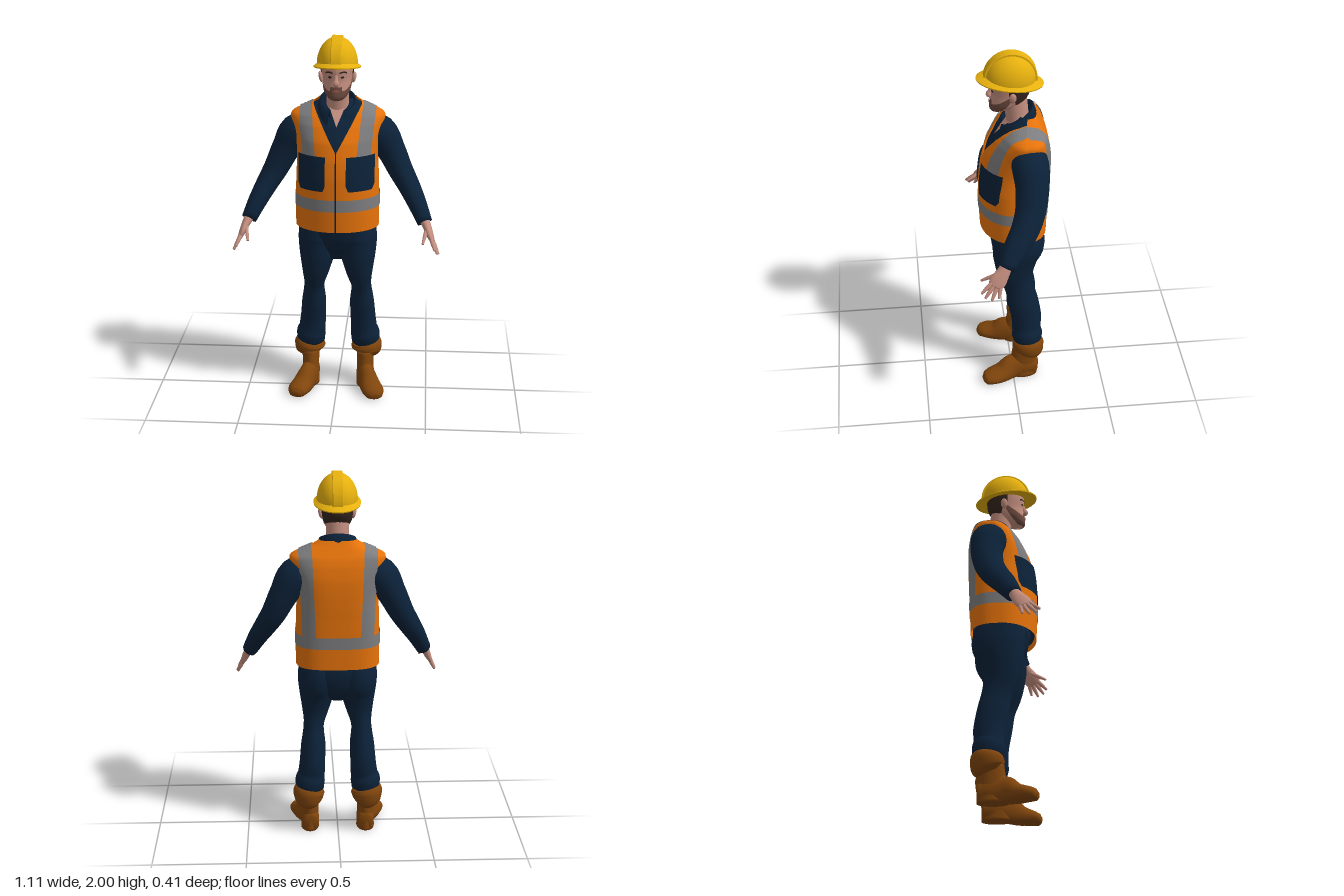
import * as THREE from 'three';
import { toCreasedNormals } from 'three/addons/utils/BufferGeometryUtils.js';

const V = (x, y, z) => new THREE.Vector3(x, y, z);
const mat = (name, color) => {
  const m = new THREE.MeshStandardMaterial({ color, side: THREE.DoubleSide });
  m.name = name;
  return m;
};

// Skin a list of vertex rows with quads
function grid(rows, closed) {
  const n = rows[0].length, idx = [];
  for (let i = 0; i < rows.length - 1; i++) {
    for (let j = 0; j < (closed ? n : n - 1); j++) {
      const k = (j + 1) % n, a = i * n + j, b = i * n + k, c = b + n, d = a + n;
      idx.push(a, b, c, a, c, d);
    }
  }
  const g = new THREE.BufferGeometry().setFromPoints(rows.flat());
  g.setIndex(idx);
  g.computeVertexNormals();
  return g;
}

// Tapered limb through [x, y, z, radius along ref, radius across]
function limb(pts, { ref = V(0, 0, 1), sides = 20, steps = 4, side = 1, floor = -1 } = {}) {
  const path = new THREE.CatmullRomCurve3(pts.map(p => V(p[0] * side, p[1], p[2])));
  const radii = new THREE.CatmullRomCurve3(pts.map(p => V(p[3], p[4], 0)));
  const n = (pts.length - 1) * steps, rows = [];
  for (let i = 0; i <= n; i++) {
    const c = path.getPoint(i / n), r = radii.getPoint(i / n), t = path.getTangent(i / n);
    const a = ref.clone().addScaledVector(t, -ref.dot(t)).normalize();
    const b = t.clone().cross(a);
    const ring = [];
    for (let j = 0; j < sides; j++) {
      const f = j / sides * Math.PI * 2;
      const p = c.clone().addScaledVector(a, Math.cos(f) * r.x).addScaledVector(b, Math.sin(f) * r.y);
      p.y = Math.max(p.y, floor);
      ring.push(p);
    }
    if (i === 0) rows.push(ring.map(() => c.clone()));
    rows.push(ring);
    if (i === n) rows.push(ring.map(() => c.clone()));
  }
  return grid(rows, true);
}

// Body surface from [y, half width, front z, back z]; angle 0 is the front
function surface(keys, backPower) {
  const curve = new THREE.CatmullRomCurve3(keys.map(k => V(k[1], k[2], k[3])));
  const at = y => {
    let i = 0;
    while (i < keys.length - 2 && y > keys[i + 1][0]) i++;
    const f = (y - keys[i][0]) / (keys[i + 1][0] - keys[i][0]);
    return curve.getPoint(THREE.MathUtils.clamp((i + f) / (keys.length - 1), 0, 1));
  };
  const point = (angle, y, off) => {
    const k = at(y), s = Math.sin(angle), c = Math.cos(angle), e = c < 0 ? 2 / backPower : 1;
    return V((k.x + off) * Math.sign(s) * Math.abs(s) ** e, y + off * 0.5,
      (k.y + k.z) / 2 + ((k.y - k.z) / 2 + off) * Math.sign(c) * Math.abs(c) ** e);
  };
  const angleAt = (x, y, back) => {
    const q = Math.min(1, Math.abs(x) / at(y).x), s = Math.sign(x);
    return s * (back ? Math.PI - Math.asin(q ** (backPower / 2)) : Math.asin(q));
  };
  // fn(u, v) gives [angle, y]
  const patch = (fn, off = 0, nu = 16, nv = 16) => {
    const rows = [];
    for (let i = 0; i <= nv; i++) {
      rows.push(Array.from({ length: nu + 1 }, (_, j) => point(...fn(j / nu, i / nv), off)));
    }
    return grid(rows, false);
  };
  return { patch, angleAt };
}

export function createModel() {
  const yellow = mat('helmetYellow', 0xe6b00e), orange = mat('vestOrange', 0xec760c);
  const grey = mat('reflectiveGrey', 0x7e7e80), navy = mat('navyCloth', 0x0c2239);
  const brown = mat('bootLeather', 0x80450c), skin = mat('skin', 0xc48f80);
  const hair = mat('darkHair', 0x35261f), stubble = mat('beardBrown', 0x6f4c40), lip = mat('lips', 0x96594f);
  const root = new THREE.Group();
  const add = (name, geo, m, parent = root) => {
    const mesh = new THREE.Mesh(geo, m);
    mesh.name = name;
    parent.add(mesh);
    return mesh;
  };
  const { lerp } = THREE.MathUtils, TAU = Math.PI * 2;

  // Torso: shirt under an open-necked vest
  const torso = surface([
    [0.97, 0.225, 0.165, -0.188], [1.1, 0.225, 0.17, -0.193], [1.25, 0.222, 0.17, -0.2],
    [1.35, 0.217, 0.16, -0.205], [1.45, 0.226, 0.135, -0.205], [1.53, 0.246, 0.09, -0.193],
    [1.575, 0.25, 0.055, -0.178], [1.61, 0.19, 0.025, -0.158], [1.64, 0.125, -0.005, -0.142],
    [1.665, 0.09, -0.03, -0.13]], 3);
  add('shirt', torso.patch((u, v) => [u * TAU, lerp(1.0, 1.66, v)], -0.012, 64, 50), navy);
  add('vest', torso.patch((u, v) => {
    const y = lerp(0.97, 1.66, v);
    const gap = torso.angleAt(Math.max(0.003, (y - 1.4) * 0.56), y);
    return [lerp(gap, TAU - gap, u), y];
  }, 0, 80, 70), orange);
  add('waistStripe', torso.patch((u, v) => [lerp(0.02, TAU - 0.02, u), lerp(1.085, 1.15, v)], 0.004, 80, 6), grey);
  add('throat', torso.patch((u, v) => {
    const y = lerp(1.53, 1.64, v);
    return [torso.angleAt((u * 2 - 1) * 0.05 * v, y), y];
  }, -0.005, 8, 12), skin);
  for (const s of [1, -1]) {
    add('frontStripe', torso.patch((u, v) => {
      const y = lerp(1.36, 1.645, v);
      return [torso.angleAt(s * (lerp(0.105, 0.175, u) + 0.03 * v), y), y];
    }, 0.005, 10, 40), grey);
    add('backStripe', torso.patch((u, v) => {
      const y = lerp(1.14, 1.645, v);
      return [torso.angleAt(s * (lerp(0.115, 0.185, u) + 0.02 * v), y, true), y];
    }, 0.005, 10, 60), grey);
    add('pocket', torso.patch((u, v) => {
      const y = lerp(1.195, 1.38, v), inset = 0.012 * Math.max(0, 1 - v * 6);
      return [torso.angleAt(s * lerp(0.053 + inset, 0.195 - inset, u), y), y];
    }, 0.009, 12, 18), navy);
  }

  // Folded collar, high at the nape and low at the throat
  const collarRows = [[0.118, 0.112, 1.575], [0.108, 0.1, 1.62], [0.098, 0.09, 1.65], [0.086, 0.08, 1.648], [0.085, 0.075, 1.59]];
  add('collar', grid(collarRows.map(([rx, rz, y]) => Array.from({ length: 41 }, (_, j) => {
    const f = lerp(0.42, TAU - 0.42, j / 40), c = Math.cos(f);
    return V(rx * Math.sin(f), y - 0.048 * c, -0.032 + rz * c);
  })), false), navy);

  // Trousers
  add('hips', limb([[0, 1.02, -0.015, 0.15, 0.205], [0, 0.92, -0.03, 0.145, 0.213],
    [0, 0.84, -0.03, 0.12, 0.18], [0, 0.77, -0.02, 0.07, 0.07]], { sides: 32 }), navy);
  for (const side of [1, -1]) {
    add('trouserLeg', limb([[0.1, 1.0, -0.02, 0.13, 0.1], [0.108, 0.9, -0.033, 0.145, 0.107],
      [0.112, 0.8, -0.018, 0.122, 0.097], [0.12, 0.7, -0.018, 0.098, 0.075], [0.131, 0.6, -0.04, 0.081, 0.055],
      [0.134, 0.5, -0.06, 0.085, 0.067], [0.14, 0.4, -0.077, 0.084, 0.07], [0.146, 0.33, -0.077, 0.08, 0.074],
      [0.153, 0.29, -0.08, 0.086, 0.082], [0.148, 0.24, -0.083, 0.076, 0.072]], { side }), navy);

    // Boots
    const boot = new THREE.Group();
    boot.name = 'boot';
    root.add(boot);
    add('bootCuff', limb([[0.155, 0.25, -0.083, 0.08, 0.076], [0.16, 0.225, -0.085, 0.089, 0.087],
      [0.16, 0.19, -0.085, 0.085, 0.08], [0.155, 0.165, -0.075, 0.068, 0.05]], { side }), brown, boot);
    add('bootShaft', limb([[0.155, 0.2, -0.07, 0.07, 0.048], [0.155, 0.12, -0.062, 0.074, 0.047],
      [0.155, 0.05, -0.055, 0.083, 0.048], [0.155, 0.0, -0.055, 0.083, 0.05]], { side }), brown, boot);
    add('bootFoot', limb([[0.152, 0.05, -0.135, 0.05, 0.04], [0.155, 0.06, -0.07, 0.08, 0.05],
      [0.165, 0.055, 0.0, 0.085, 0.05], [0.19, 0.035, 0.07, 0.058, 0.058], [0.208, 0.03, 0.125, 0.04, 0.06],
      [0.217, 0.022, 0.16, 0.032, 0.045], [0.22, 0.02, 0.175, 0.015, 0.022]],
    { side, ref: V(0, 1, 0), floor: 0 }), brown, boot);

    // Sleeves and hands
    add('sleeve', limb([[0.15, 1.5, -0.07, 0.08, 0.07], [0.222, 1.465, -0.08, 0.097, 0.094],
      [0.283, 1.37, -0.085, 0.088, 0.078], [0.338, 1.26, -0.07, 0.08, 0.067], [0.385, 1.18, -0.038, 0.074, 0.059],
      [0.43, 1.1, 0.015, 0.064, 0.051], [0.474, 1.01, 0.068, 0.045, 0.041]], { side }), navy);
    const hand = new THREE.Group();
    hand.name = 'hand';
    root.add(hand);
    add('palm', limb([[0.47, 1.025, 0.065, 0.03, 0.028], [0.49, 0.985, 0.09, 0.037, 0.022],
      [0.505, 0.95, 0.115, 0.045, 0.018], [0.518, 0.922, 0.132, 0.036, 0.012]], { side, sides: 14 }), skin, hand);
    const fingers = [
      ['indexFinger', [0.508, 0.945, 0.145], [0.53, 0.895, 0.203]],
      ['middleFinger', [0.514, 0.935, 0.135], [0.543, 0.872, 0.185]],
      ['ringFinger', [0.515, 0.93, 0.117], [0.55, 0.86, 0.152]],
      ['littleFinger', [0.511, 0.935, 0.1], [0.545, 0.866, 0.115]],
      ['thumb', [0.485, 0.985, 0.105], [0.465, 0.93, 0.2]]];
    for (const [name, a, b] of fingers) {
      const mid = a.map((v, i) => (v + b[i]) / 2);
      add(name, limb([[...a, 0.012, 0.011], [...mid, 0.011, 0.01], [...b, 0.006, 0.006]], { side, sides: 8 }), skin, hand);
    }
  }

  // Head
  const head = new THREE.Group();
  head.name = 'head';
  root.add(head);
  add('neck', limb([[0, 1.55, -0.045, 0.062, 0.07], [0, 1.65, -0.035, 0.06, 0.06], [0, 1.76, -0.02, 0.065, 0.062]]), skin, head);
  const skull = surface([
    [1.666, 0.004, 0.075, 0.06], [1.674, 0.03, 0.097, 0.035], [1.69, 0.05, 0.105, -0.005], [1.715, 0.066, 0.104, -0.045],
    [1.745, 0.073, 0.102, -0.08], [1.78, 0.077, 0.099, -0.097], [1.83, 0.083, 0.104, -0.103],
    [1.88, 0.087, 0.1, -0.105], [1.92, 0.075, 0.08, -0.09]], 2.2);
  add('face', skull.patch((u, v) => [u * TAU, lerp(1.666, 1.92, v)], 0, 40, 40), skin, head);
  add('hair', skull.patch((u, v) => {
    const angle = lerp(1.45, TAU - 1.45, u), back = Math.min(1, Math.abs(u < 0.5 ? u : 1 - u) * 6);
    return [angle, lerp(lerp(1.785, 1.728, back), 1.88, v)];
  }, 0.006, 40, 14), hair, head);
  add('beard', skull.patch((u, v) => {
    const angle = lerp(-1.6, 1.6, u), t = Math.abs(angle) / 1.6;
    const top = t < 0.28 ? 1.746 : 1.724 + 0.065 * ((t - 0.28) / 0.72) ** 2;
    return [angle, lerp(1.667, top, v)];
  }, 0.003, 48, 14), stubble, head);
  add('mouth', skull.patch((u, v) => [lerp(-0.3, 0.3, u), 1.724 + (v - 0.5) * 0.016 * Math.sin(Math.PI * u)], 0.006, 10, 2), lip, head);
  add('nose', limb([[0, 1.812, 0.094, 0.008, 0.009], [0, 1.785, 0.104, 0.01, 0.011], [0, 1.765, 0.11, 0.015, 0.017],
    [0, 1.752, 0.102, 0.008, 0.011]], { sides: 12 }), skin, head);
  for (const s of [1, -1]) {
    add('eye', skull.patch((u, v) => [s * lerp(0.27, 0.56, u), 1.796 + (v - 0.5) * 0.013 * Math.sin(Math.PI * u)], 0.003, 8, 2), hair, head);
    add('eyebrow', skull.patch((u, v) => [s * lerp(0.2, 0.7, u), 1.814 + 0.006 * Math.sin(Math.PI * u) + v * 0.008], 0.004, 8, 2), hair, head);
    const ear = add('ear', new THREE.SphereGeometry(1, 14, 10), skin, head);
    ear.scale.set(0.012, 0.03, 0.019);
    ear.position.set(s * 0.087, 1.78, -0.005);
    ear.rotation.z = -s * 0.2;
  }

  // Hard hat: dome, crest and brim
  const helmet = new THREE.Group();
  helmet.name = 'hardHat';
  helmet.position.set(0, 1.852, 0);
  helmet.rotation.x = -0.12;
  root.add(helmet);
  const dome = add('dome', new THREE.SphereGeometry(1, 36, 16, 0, TAU, 0, Math.PI / 2), yellow, helmet);
  dome.scale.set(0.108, 0.141, 0.132);
  const crestShape = new THREE.Shape();
  crestShape.absellipse(0, 0, 0.138, 0.148, 0, Math.PI, false, 0);
  const crestGeo = new THREE.ExtrudeGeometry(crestShape, { depth: 0.05, bevelEnabled: true, bevelSize: 0.003,
    bevelOffset: -0.003, bevelThickness: 0.003, bevelSegments: 1, curveSegments: 28 });
  crestGeo.translate(0, 0, -0.025).rotateY(Math.PI / 2);
  add('crest', toCreasedNormals(crestGeo, 0.5), yellow, helmet);
  const brimProfile = [[0, -0.008], [0.99, -0.018], [1, -0.012], [0.85, 0.002], [0.7, 0.012]].map(p => new THREE.Vector2(...p));
  const brimGeo = new THREE.LatheGeometry(brimProfile, 48).scale(0.125, 1, 0.175);
  add('brim', toCreasedNormals(brimGeo, 0.7), yellow, helmet);

  return root;
}
